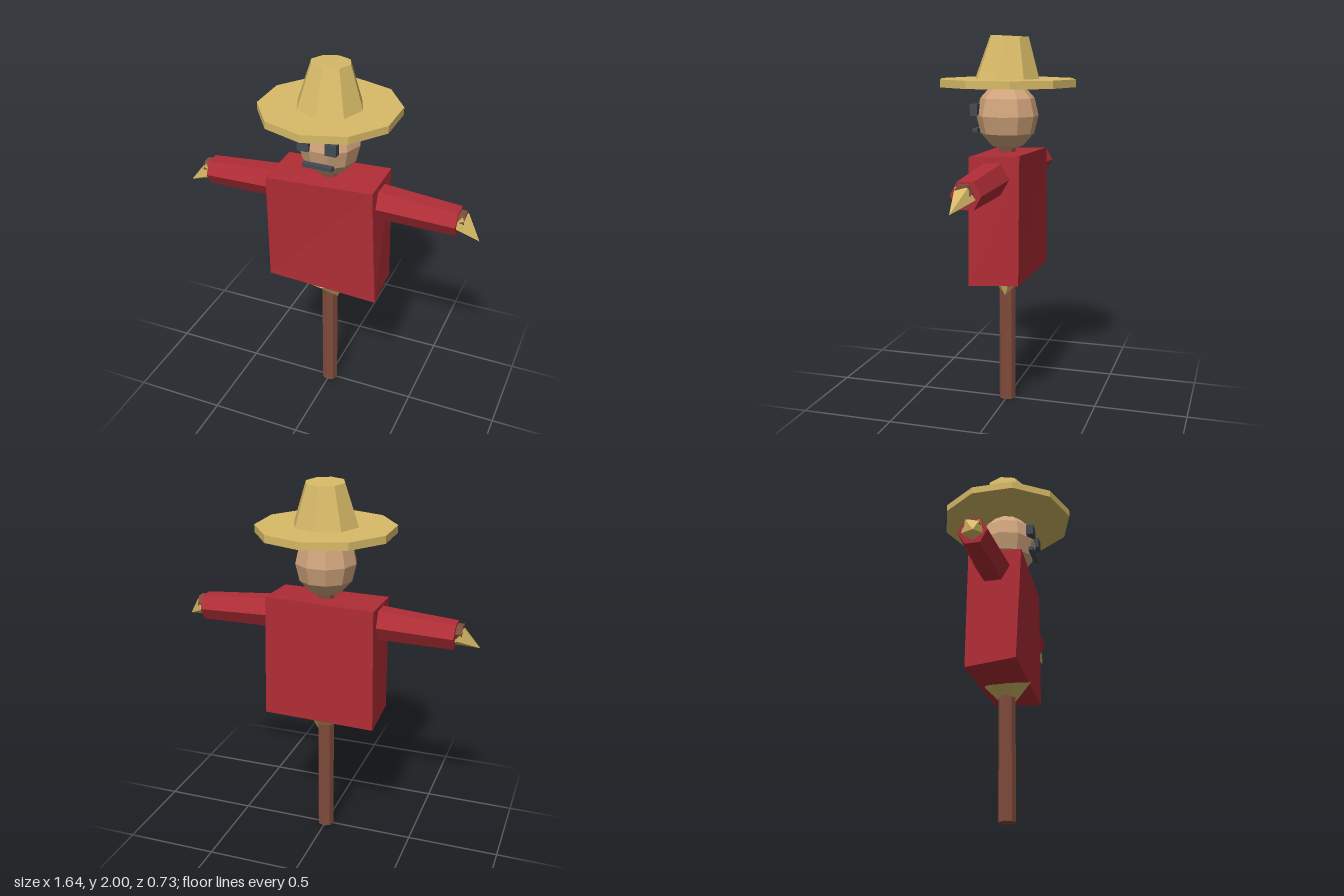
import * as THREE from 'three';

const flat = (name, color) => {
  const m = new THREE.MeshStandardMaterial({ color, flatShading: true });
  m.name = name;
  return m;
};

export function createModel() {
  const group = new THREE.Group();
  const straw = flat('straw', 0xd8bb68);
  const red = flat('red cloth', 0xb02d36);
  const skin = flat('sackcloth', 0xd0a47c);
  const wood = flat('wood', 0x804c3b);
  const dark = flat('dark slate', 0x434b53);

  const add = (name, geometry, material, x = 0, y = 0, z = 0) => {
    const mesh = new THREE.Mesh(geometry, material);
    mesh.name = name;
    mesh.position.set(x, y, z);
    group.add(mesh);
    return mesh;
  };

  // Tapered prism running from point a to point b
  const between = (name, a, b, ra, rb, sides, material) => {
    const from = new THREE.Vector3(...a);
    const dir = new THREE.Vector3(...b).sub(from);
    const geometry = new THREE.CylinderGeometry(rb, ra, dir.length(), sides);
    const mesh = add(name, geometry, material);
    mesh.position.copy(from).addScaledVector(dir, 0.5);
    mesh.quaternion.setFromUnitVectors(new THREE.Vector3(0, 1, 0), dir.normalize());
    return mesh;
  };

  // Wooden frame
  between('post', [0, 0, 0], [0, 1.45, 0], 0.046, 0.046, 8, wood);
  between('crossbar', [-0.735, 1.283, 0], [0.735, 1.283, 0], 0.045, 0.045, 6, wood);

  // Shirt: a slightly crooked box, corners keyed by the signs of x, y, z
  const corners = {
    '-++': [-0.3, 1.375, 0.15], '+++': [0.28, 1.39, 0.125],
    '++-': [0.285, 1.405, -0.145], '-+-': [-0.3, 1.385, -0.14],
    '--+': [-0.31, 0.75, 0.12], '+-+': [0.31, 0.722, 0.12],
    '+--': [0.3, 0.737, -0.145], '---': [-0.31, 0.722, -0.145],
  };
  const shirt = new THREE.BoxGeometry(1, 1, 1);
  const p = shirt.attributes.position;
  const sign = (v) => (v > 0 ? '+' : '-');
  for (let i = 0; i < p.count; i++) {
    p.setXYZ(i, ...corners[sign(p.getX(i)) + sign(p.getY(i)) + sign(p.getZ(i))]);
  }
  shirt.computeVertexNormals();
  add('shirt', shirt, red);

  // Sleeves and straw hands
  for (const s of [-1, 1]) {
    const side = s > 0 ? 'left' : 'right';
    between(side + 'Sleeve', [s * 0.15, 1.289, -0.003], [s * 0.7, 1.265, -0.003], 0.096, 0.077, 6, red);
    between(side + 'Hand', [s * 0.705, 1.268, 0], [s * 0.82, 1.195, 0.034], 0.06, 0, 5, straw);
  }

  // Straw poking out below the shirt
  between('strawTuft', [0, 0.737, 0], [0.047, 0.608, 0], 0.13, 0, 6, straw);

  // Head and face
  add('head', new THREE.SphereGeometry(0.165, 10, 6), skin, 0, 1.583, 0).scale.y = 1.12;
  for (const s of [-1, 1]) {
    add(s > 0 ? 'leftEye' : 'rightEye', new THREE.BoxGeometry(0.06, 0.06, 0.04), dark, s * 0.075, 1.615, 0.155);
  }
  add('mouth', new THREE.BoxGeometry(0.16, 0.022, 0.027), dark, 0, 1.506, 0.156);

  // Hat
  add('hatBrim', new THREE.CylinderGeometry(0.366, 0.366, 0.04, 10), straw, 0, 1.755, 0);
  add('hatCrown', new THREE.CylinderGeometry(0.104, 0.18, 0.235, 8), straw, 0, 1.878, -0.005).rotation.x = -0.05;

  return group;
}
